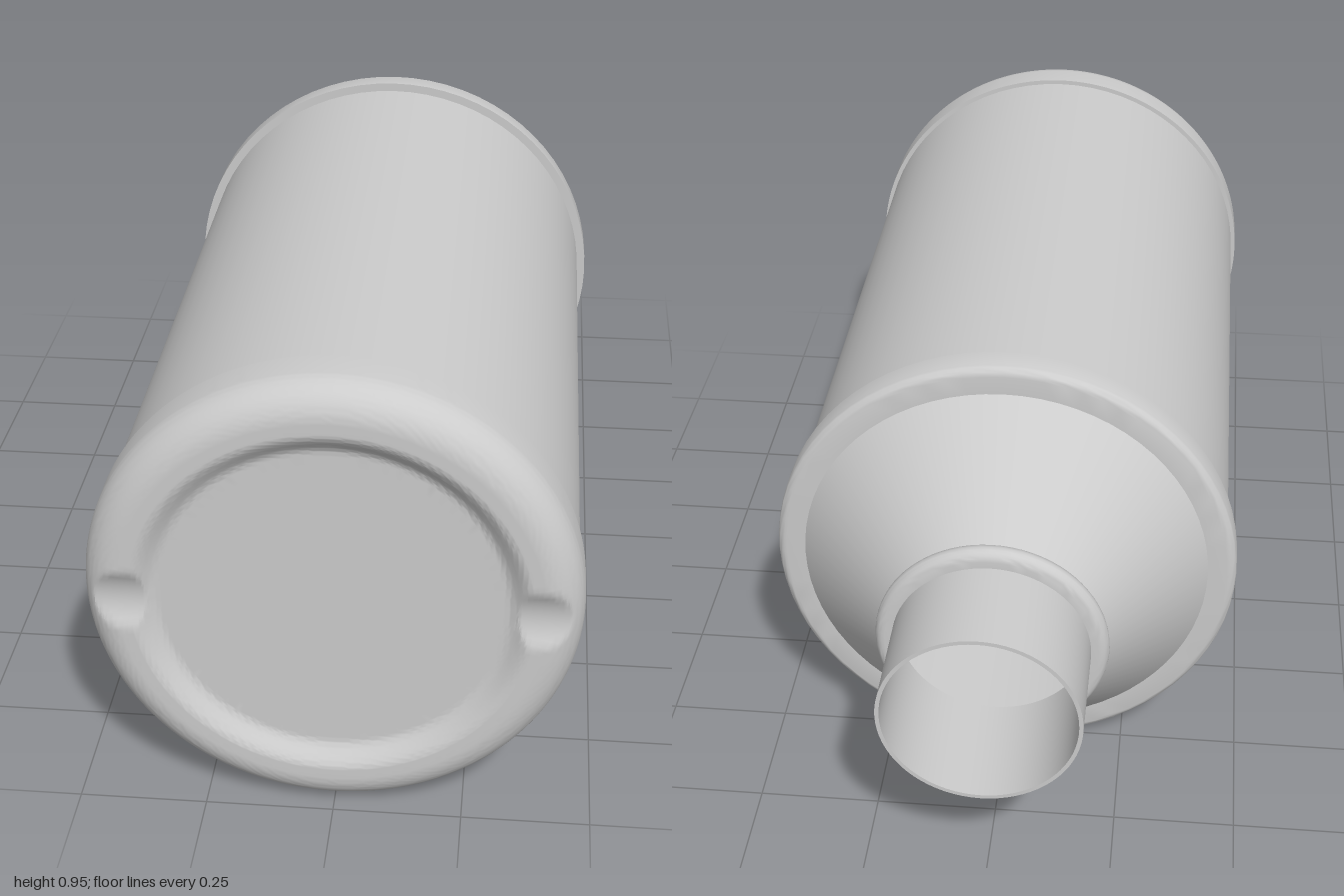
import * as THREE from 'three';
import { toCreasedNormals } from 'three/addons/utils/BufferGeometryUtils.js';

const AXIS = 0.477; // height of the canister's centre line

export function createModel() {
  const model = new THREE.Group();
  model.name = 'canister';
  const material = new THREE.MeshStandardMaterial({ color: 0xcccccc });

  // Profiles are [radius, z] pairs, turned around the z axis; z rises on outer faces.
  const turn = (profile, segments) =>
    new THREE.LatheGeometry(profile.map(([r, z]) => new THREE.Vector2(r, z)), segments).rotateX(Math.PI / 2);

  const add = (name, geometry) => {
    const mesh = new THREE.Mesh(toCreasedNormals(geometry, 0.6), material);
    mesh.name = name;
    mesh.position.y = AXIS;
    model.add(mesh);
  };

  // Quarter or half round from angle a to b
  const arc = (r, z, radius, a, b, steps) =>
    Array.from({ length: steps + 1 }, (_, i) => {
      const t = a + ((b - a) * i) / steps;
      return [r + radius * Math.cos(t), z + radius * Math.sin(t)];
    });

  // Main tube
  add('body', turn([[0.458, -0.47], [0.458, 0.88]], 72));

  // Flange with a rounded rear edge
  add('collar', turn([[0.415, -0.522], ...arc(0.457, -0.502, 0.02, -Math.PI / 2, 0, 6), [0.477, -0.46], [0.457, -0.46]], 72));

  // Tapering shoulder
  add('shoulder', turn([[0.215, -0.745], [0.42, -0.52]], 72));

  // Bead where the neck joins the shoulder
  add('neckBead', turn([[0.19, -0.787], ...arc(0.21, -0.766, 0.021, -Math.PI / 2, Math.PI / 2, 10), [0.19, -0.745]], 72));

  // Open neck: inner wall, rim, outer wall
  add('neck', turn([[0.188, -0.75], [0.188, -1], [0.196, -1], [0.196, -0.76]], 72));

  // Inside of the hollow shell
  add('innerWall', turn([[0.448, 0.965], [0.448, -0.5], [0.41, -0.52], [0.205, -0.745], [0.188, -0.75]], 72));
  add('innerFloor', turn([[0, 0.965], [0.448, 0.965]], 72));

  // End cap: rounded rim around a shallow recessed face
  const capProfile = [[0.456, 0.875], [0.468, 0.875], ...arc(0.398, 0.93, 0.07, 0, Math.PI / 2, 18)];
  for (let i = 1; i <= 24; i++) {
    const r = 0.398 - (0.08 * i) / 24;
    capProfile.push([r, 0.973 + 0.027 * THREE.MathUtils.smoothstep(r, 0.324, 0.376)]);
  }
  capProfile.push([0.3, 0.973], [0, 0.973]);
  const cap = turn(capProfile, 216);

  // Press a shallow round groove across the rim at both sides
  const p = cap.attributes.position;
  for (let i = 0; i < p.count; i++) {
    const y = p.getY(i);
    if (Math.abs(y) < 0.062) {
      const groove = 1.088 - Math.sqrt(0.106 ** 2 - y * y);
      p.setZ(i, Math.min(p.getZ(i), groove));
    }
  }
  add('endCap', cap);

  return model;
}
